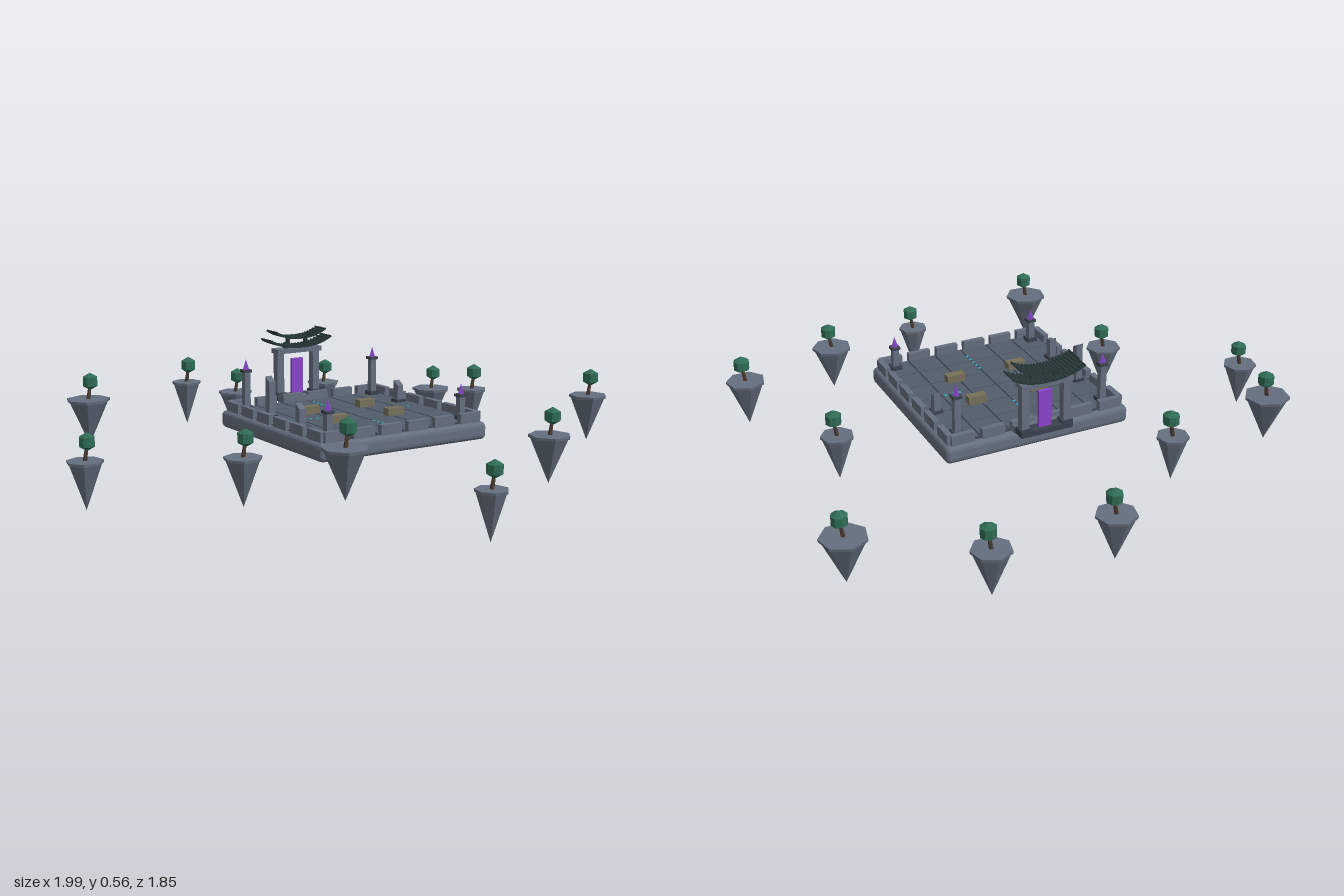
import * as THREE from 'three';
import { RoundedBoxGeometry } from 'three/addons/geometries/RoundedBoxGeometry.js';

const paint = (color) => new THREE.MeshStandardMaterial({ color, flatShading: true });
const stone = paint(0x646e7d), floorStone = paint(0x525c6a), darkStone = paint(0x3a424d);
const leaf = paint(0x2f6b55), bark = paint(0x4a3a30), purple = paint(0x8a45cc);
const roofMat = paint(0x29383a), bronze = paint(0x77705a), cyan = paint(0x2fb4c4);

const CX = 0.075, CZ = 0.04, TOP = 0.28; // platform centre and top height

function add(parent, name, geometry, material, x = 0, y = 0, z = 0) {
  const mesh = new THREE.Mesh(geometry, material);
  mesh.name = name;
  mesh.position.set(x, y, z);
  parent.add(mesh);
  return mesh;
}
const box = (parent, name, w, h, d, mat, x, y, z) =>
  add(parent, name, new THREE.BoxGeometry(w, h, d), mat, x, y + h / 2, z); // y is the underside

function group(parent, name) {
  const g = new THREE.Group();
  g.name = name;
  parent.add(g);
  return g;
}

// Floating seven-sided rock with a small leaning tree
function makeIsland(parent, [x, z, r, top, tip]) {
  const g = group(parent, 'floatingIsland');
  g.position.set(x, top, z);
  const h = top - tip;
  add(g, 'rock', new THREE.ConeGeometry(r * 0.96, h, 7), stone, 0, -h / 2, 0).rotation.x = Math.PI;
  add(g, 'rim', new THREE.CylinderGeometry(r, r * 0.98, 0.01, 7), stone, 0, -0.004, 0).rotation.y = Math.PI;
  const trunk = add(g, 'trunk', new THREE.CylinderGeometry(0.005, 0.008, 0.06, 6), bark, 0.005, 0.028, 0);
  trunk.rotation.z = -0.16;
  add(g, 'crown', new THREE.SphereGeometry(0.033, 8, 3), leaf, 0.01, 0.067, 0);
}

// Lantern post with a pointed crystal
function makePost(parent, x, z, height) {
  const g = group(parent, 'lanternPost');
  g.position.set(x, TOP, z);
  box(g, 'postBase', 0.04, 0.022, 0.04, darkStone, 0, 0, 0);
  box(g, 'postShaft', 0.024, height, 0.024, stone, 0, 0, 0);
  box(g, 'postCap', 0.034, 0.01, 0.034, darkStone, 0, height, 0);
  add(g, 'crystal', new THREE.ConeGeometry(0.014, 0.04, 4), purple, 0, height + 0.029, 0);
}

// Broken column with a slanted top
function makeBrokenColumn(parent, x, z, height) {
  const g = group(parent, 'brokenColumn');
  g.position.set(x, TOP, z);
  box(g, 'columnBase', 0.04, 0.018, 0.04, darkStone, 0, 0, 0);
  const geo = new THREE.BoxGeometry(0.026, height, 0.028);
  const p = geo.attributes.position;
  for (let i = 0; i < p.count; i++) {
    if (p.getY(i) > 0 && p.getZ(i) > 0) p.setY(i, p.getY(i) - 0.018);
  }
  geo.computeVertexNormals();
  add(g, 'columnShaft', geo, stone, 0, height / 2, 0);
}

// Upswept roof tier: a curved sheet under a row of round tiles
function makeRoof(parent, half, y, rise, depth) {
  const g = group(parent, 'roofTier');
  g.position.y = y;
  const t = 0.006, n = 18;
  const curve = (u) => rise * Math.pow(Math.abs(u), 2.4);
  const shape = new THREE.Shape();
  for (let i = 0; i <= n; i++) {
    const u = (i / n) * 2 - 1;
    if (i === 0) shape.moveTo(u * half, curve(u));
    else shape.lineTo(u * half, curve(u));
  }
  for (let i = n; i >= 0; i--) {
    const u = (i / n) * 2 - 1;
    shape.lineTo(u * half, curve(u) + t);
  }
  const geo = new THREE.ExtrudeGeometry(shape, { depth, bevelEnabled: false });
  add(g, 'roofSheet', geo, roofMat, 0, 0, -depth / 2);
  const tile = new THREE.CylinderGeometry(0.004, 0.004, depth + 0.006, 6);
  for (let i = 0; i <= n; i++) {
    const u = (i / n) * 2 - 1;
    add(g, 'roofTile', tile, roofMat, u * half, curve(u) + t, 0).rotation.x = Math.PI / 2;
  }
}

function makeGate(parent) {
  const g = group(parent, 'gate');
  g.position.set(CX, 0, -0.352);
  box(g, 'gateStep', 0.2, 0.025, 0.05, stone, 0, TOP, 0.05);
  box(g, 'gateSill', 0.2, 0.02, 0.045, darkStone, 0, TOP + 0.005, 0);
  for (const s of [-1, 1]) {
    box(g, 'pillarBase', 0.042, 0.025, 0.042, darkStone, s * 0.081, TOP + 0.01, 0);
    box(g, 'pillar', 0.03, 0.185, 0.03, stone, s * 0.081, 0.288, 0);
    // Roof support and end ridge
    box(g, 'roofSupport', 0.014, 0.03, 0.018, roofMat, s * 0.05, 0.48, 0);
    box(g, 'tierSupport', 0.012, 0.04, 0.014, roofMat, s * 0.04, 0.49, 0);
  }
  box(g, 'lintel', 0.2, 0.018, 0.05, stone, 0, 0.47, 0);
  box(g, 'portal', 0.05, 0.14, 0.012, purple, 0, 0.305, 0);
  makeRoof(g, 0.135, 0.49, 0.03, 0.075);
  makeRoof(g, 0.11, 0.525, 0.026, 0.07);
}

export function createModel() {
  const model = new THREE.Group();
  model.name = 'floatingArena';

  // Platform slab with a grid of paving
  add(model, 'platform', new RoundedBoxGeometry(0.72, 0.066, 0.72, 2, 0.02), stone, CX, TOP - 0.033, CZ);
  box(model, 'floorBed', 0.67, 0.003, 0.67, darkStone, CX, TOP, CZ);
  const floor = group(model, 'paving');
  for (let i = 0; i < 6; i++) {
    for (let j = 0; j < 6; j++) {
      box(floor, 'pavingSlab', 0.104, 0.007, 0.104, floorStone,
        CX + (i - 2.5) * 0.11, TOP, CZ + (j - 2.5) * 0.11);
    }
  }

  // Low parapet blocks along all four sides
  const walls = group(model, 'parapet');
  for (let k = 0; k < 4; k++) {
    const side = group(walls, 'parapetSide');
    side.position.set(CX, TOP, CZ);
    side.rotation.y = (k * Math.PI) / 2;
    for (let i = 0; i < 6; i++) {
      box(side, 'parapetBlock', 0.088, 0.037, 0.022, stone, (i - 2.5) * 0.116, 0, 0.335);
    }
  }

  // Posts, columns and stone benches, mirrored across the platform
  for (const s of [-1, 1]) {
    const x = CX + s * 0.288;
    makePost(model, x, -0.245, 0.15);
    makePost(model, x, 0.33, 0.09);
    for (const z of [-0.052, 0.138]) {
      box(model, 'bench', 0.07, 0.035, 0.032, bronze, CX + s * 0.125, TOP, z);
    }
  }
  makeBrokenColumn(model, CX - 0.288, -0.062, 0.16);
  makeBrokenColumn(model, CX + 0.288, -0.062, 0.09);
  makeBrokenColumn(model, CX - 0.288, 0.15, 0.095);

  // Glowing inlays in a cross
  for (let k = 0; k < 4; k++) {
    for (let i = 0; i < 5; i++) {
      const a = (k * Math.PI) / 2, d = 0.15 + i * 0.028;
      box(model, 'inlay', 0.009, 0.003, 0.009, cyan, CX + d * Math.cos(a), TOP + 0.006, CZ + d * Math.sin(a));
    }
  }

  makeGate(model);

  // Ring of islands: x, z, radius, top, tip
  const islands = [
    [0.075, -0.86, 0.073, 0.23, 0.055], [0.522, -0.862, 0.07, 0.23, 0.055],
    [-0.257, -0.66, 0.058, 0.335, 0.165], [-0.725, -0.55, 0.083, 0.33, 0.155],
    [0.9, -0.565, 0.083, 0.21, 0.035], [-0.934, -0.09, 0.066, 0.21, 0.035],
    [0.745, -0.085, 0.06, 0.297, 0.125], [-0.5, 0.245, 0.069, 0.235, 0.06],
    [0.926, 0.4, 0.072, 0.33, 0.155], [-0.355, 0.657, 0.081, 0.33, 0.155],
    [0.507, 0.657, 0.077, 0.27, 0.095], [0.075, 0.868, 0.059, 0.18, 0],
  ];
  islands.forEach((island) => makeIsland(model, island));
  return model;
}
